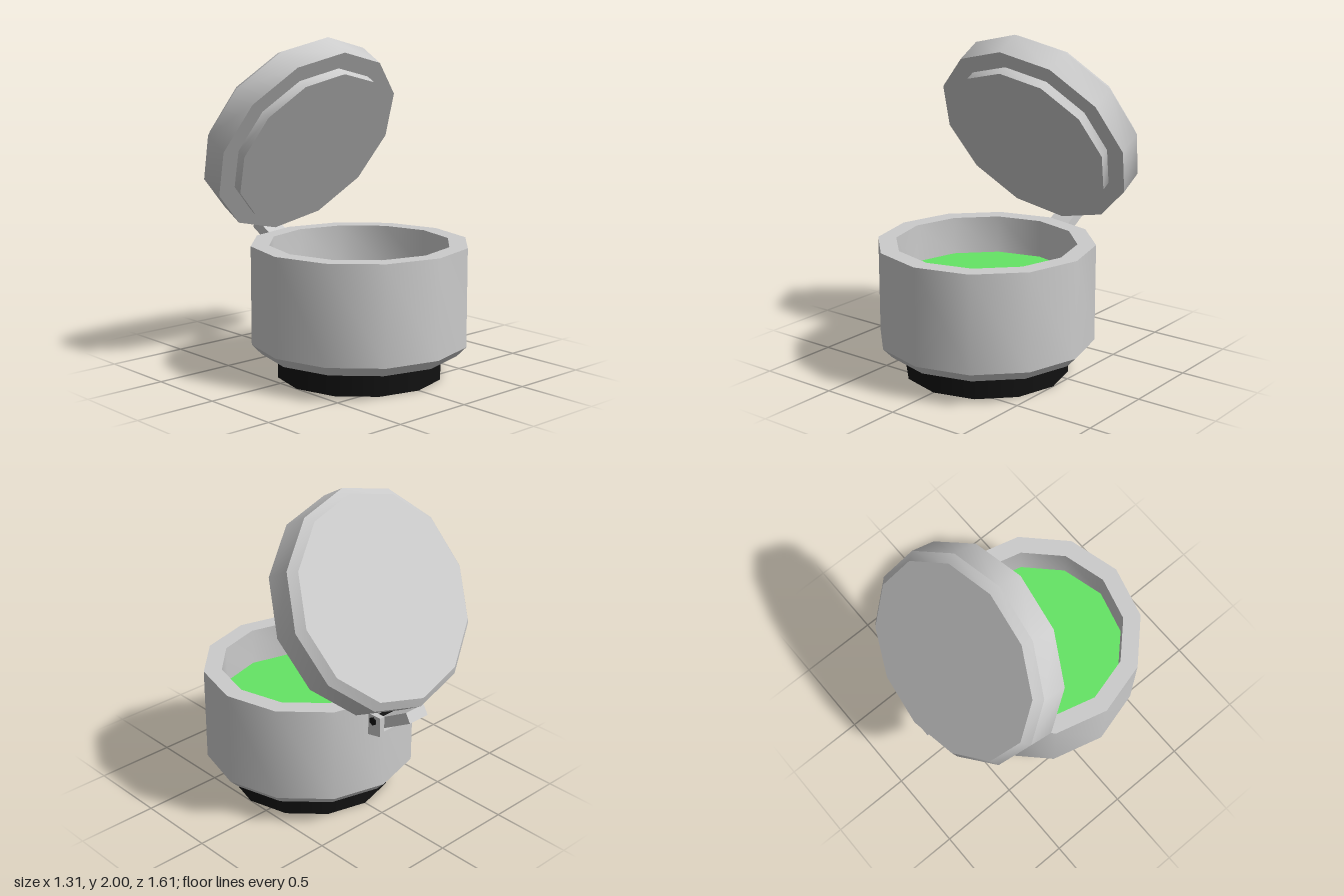
import * as THREE from 'three';
import { toCreasedNormals } from 'three/addons/utils/BufferGeometryUtils.js';

const SIDES = 12;
const CENTER_Z = 0.146;
const HINGE = { y: 0.7, z: -0.52 };
const grey = new THREE.MeshStandardMaterial({ color: 0xcccccc });
const black = new THREE.MeshStandardMaterial({ color: 0x111111 });
const blackOpen = new THREE.MeshStandardMaterial({ color: 0x111111, side: THREE.DoubleSide });
const green = new THREE.MeshStandardMaterial({ color: 0x64e464 });

function part(name, geometry, material, x = 0, y = 0, z = 0) {
  const mesh = new THREE.Mesh(geometry, material);
  mesh.name = name;
  mesh.position.set(x, y, z);
  return mesh;
}

// Turned twelve-sided form: smooth around, sharp between bands
function turned(profile) {
  const points = profile.map(([r, y]) => new THREE.Vector2(r, y));
  return toCreasedNormals(new THREE.LatheGeometry(points, SIDES), 0.6);
}

// Side profile in (z, y), extruded along x about the middle
function sideExtrude(profile, width) {
  const shape = new THREE.Shape(profile.map(([z, y]) => new THREE.Vector2(z, y)));
  const geometry = new THREE.ExtrudeGeometry(shape, { depth: width, bevelEnabled: false });
  return geometry.translate(0, 0, -width / 2).rotateY(-Math.PI / 2);
}

export function createModel() {
  const model = new THREE.Group();
  model.name = 'hingedJar';

  // Jar: bevelled underside, wall, rim and inner wall
  model.add(part('jarBody', turned([
    [0, 0.15], [0.597, 0.15], [0.655, 0.21], [0.655, 0.803], [0.545, 0.803], [0.545, 0.56],
  ]), grey, 0, 0, CENTER_Z));

  // Contents surface
  const fill = new THREE.CircleGeometry(0.545, SIDES).rotateX(-Math.PI / 2);
  model.add(part('contents', fill, green, 0, 0.57, CENTER_Z));

  // Open foot ring
  const foot = new THREE.CylinderGeometry(0.5, 0.5, 0.15, SIDES, 1, true);
  model.add(part('footRing', foot, blackOpen, 0, 0.075, CENTER_Z));

  // Hinge bracket: two cheeks joined by a sloping floor
  const bracket = new THREE.Group();
  bracket.name = 'hingeBracket';
  const cheek = [[-0.575, 0.615], [-0.47, 0.593], [-0.47, 0.738], [-0.575, 0.738]];
  const floor = [[-0.575, 0.615], [-0.47, 0.593], [-0.47, 0.64], [-0.575, 0.64]];
  for (const side of [-1, 1]) {
    bracket.add(part('bracketCheek', sideExtrude(cheek, 0.035), grey, side * 0.0925));
  }
  bracket.add(part('bracketFloor', sideExtrude(floor, 0.15), grey));
  model.add(bracket);

  // Hinge pin
  const pin = new THREE.CylinderGeometry(0.026, 0.026, 0.236, 6).rotateZ(Math.PI / 2);
  pin.rotateX(Math.PI / 6);
  model.add(part('hingePin', toCreasedNormals(pin, 0.6), black, 0, HINGE.y, HINGE.z));

  // Lid swings about the pin
  const lid = new THREE.Group();
  lid.name = 'lid';
  lid.position.set(0, HINGE.y, HINGE.z);
  lid.rotation.x = -Math.PI / 3;
  lid.add(part('lidShell', turned([
    [0, 0.082], [0.545, 0.082], [0.545, 0.145], [0.655, 0.145],
    [0.655, 0.316], [0.61, 0.361], [0, 0.361],
  ]), grey, 0, 0, CENTER_Z - HINGE.z));
  lid.add(part('lidArm', new THREE.BoxGeometry(0.146, 0.28, 0.066), grey, 0, 0.12, -0.028));
  model.add(lid);

  return model;
}
